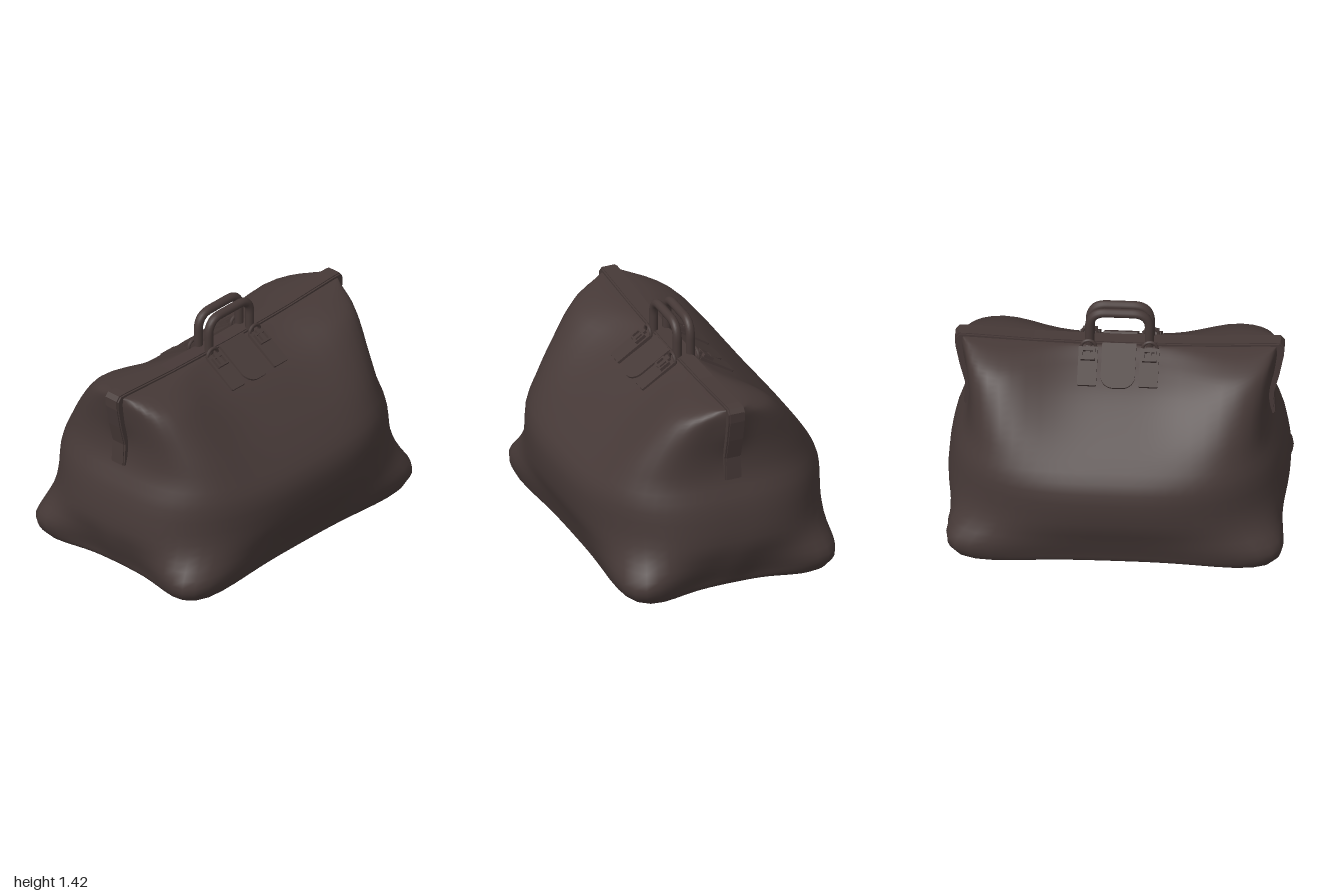
import * as THREE from 'three';

const leather = new THREE.MeshStandardMaterial({ color: 0x463937 });
leather.name = 'darkBrownLeather';

function part(name, geometry, parent, x = 0, y = 0, z = 0) {
  const mesh = new THREE.Mesh(geometry, leather);
  mesh.name = name;
  mesh.position.set(x, y, z);
  parent.add(mesh);
  return mesh;
}

// Cross-sections: height, half width near the ends, half width mid-length,
// half length, squareness, extra length along the strap
const ROWS = [
  [0, 0.57, 0.57, 0.87, 7, 0],
  [0.03, 0.63, 0.63, 0.905, 6, 0],
  [0.1, 0.65, 0.65, 0.92, 6, 0.01],
  [0.22, 0.69, 0.69, 0.965, 4, 0.01],
  [0.36, 0.735, 0.735, 0.998, 3, 0],
  [0.57, 0.738, 0.735, 0.965, 3, 0],
  [0.73, 0.665, 0.62, 0.895, 3.5, 0],
  [0.87, 0.57, 0.48, 0.875, 4, 0],
  [1.0, 0.46, 0.33, 0.885, 4.2, 0.025],
  [1.08, 0.375, 0.21, 0.895, 4.2, 0.03],
  [1.125, 0.29, 0.135, 0.9, 4.2, 0.03],
  [1.16, 0.18, 0.08, 0.9, 4.2, 0.03],
  [1.175, 0.06, 0.05, 0.92, 5, 0.01],
  [1.178, 0, 0, 0.92, 5, 0],
];

// Smooth blend between neighbouring rows
function rowAt(u) {
  const last = ROWS.length - 1;
  const i = Math.min(Math.floor(u), last - 1), t = u - i;
  const [a, b, c, d] = [Math.max(i - 1, 0), i, i + 1, Math.min(i + 2, last)].map(k => ROWS[k]);
  return b.map((p, k) => {
    const m0 = (c[k] - a[k]) / 2, m1 = (d[k] - p) / 2;
    return p + t * m0 + t * t * (3 * (c[k] - p) - 2 * m0 - m1) + t * t * t * (2 * (p - c[k]) + m0 + m1);
  });
}

function bodyPoint(u, t) {
  const [y, wide, mid, long, n, ridge] = rowAt(u);
  const c = Math.cos(t), s = Math.sin(t);
  const r = Math.pow(Math.abs(c) ** n + Math.abs(s) ** n, -1 / n);
  let z = long * r * s;
  const sag = Math.exp(-((z / 0.55) ** 4));
  let x = Math.max(0, wide + (mid - wide) * sag) * r * c;
  // Bulging lower corners
  const off = (Math.atan2(Math.abs(s), Math.abs(c)) - Math.PI / 4) / 0.3;
  const corner = Math.exp(-off * off);
  const bump = corner * Math.exp(-(((y - 0.11) / 0.15) ** 2));
  x += Math.sign(c) * 0.055 * bump;
  z += Math.sign(s) * (0.11 * bump + ridge * Math.exp(-((x / 0.1) ** 2)) * Math.abs(s) ** 4);
  // Ends of the mouth rise, base edges lift slightly between the corners
  const lift = 0.032 * z * z * THREE.MathUtils.smoothstep(y, 0.8, 1.15);
  const base = 0.018 * (1 - corner) * Math.max(0, 1 - y / 0.1);
  return [x, y + lift + base, z];
}

function bodyGeometry(segs = 80, steps = 39) {
  const pos = [], idx = [];
  for (let i = 0; i <= steps; i++)
    for (let j = 0; j < segs; j++)
      pos.push(...bodyPoint((i / steps) * (ROWS.length - 1), (j / segs) * Math.PI * 2));
  for (let i = 0; i < steps; i++)
    for (let j = 0; j < segs; j++) {
      const a = i * segs + j, b = i * segs + ((j + 1) % segs);
      idx.push(a, a + segs, b, b, a + segs, b + segs);
    }
  return finish(pos, idx);
}

function baseGeometry(segs = 80) {
  const pos = [0, 0.018, 0], idx = [];
  for (let j = 0; j < segs; j++) {
    pos.push(...bodyPoint(0, (j / segs) * Math.PI * 2));
    idx.push(0, 1 + j, 1 + ((j + 1) % segs));
  }
  return finish(pos, idx);
}

function finish(pos, idx) {
  const g = new THREE.BufferGeometry();
  g.setAttribute('position', new THREE.Float32BufferAttribute(pos, 3));
  g.setIndex(idx);
  g.computeVertexNormals();
  return g;
}

// Band along the mouth and down both ends, extruded across x
function strapGeometry(halfWidth, raise) {
  const outer = [[0.905, 0.73], [0.897, 0.87], [0.93, 1.0], [0.955, 1.13], [0.957, 1.185],
    [0.935, 1.212], [0.88, 1.212], [0.5, 1.192], [0, 1.184]];
  const inner = [[0, 1.15], [0.5, 1.158], [0.88, 1.175], [0.915, 1.165], [0.915, 1.13],
    [0.89, 1.0], [0.86, 0.87], [0.865, 0.73]];
  const top = outer.map(([z, y]) => [z + (z > 0.89 ? raise : 0), y + (y > 1.18 ? raise : 0)]);
  const flip = list => list.slice().reverse().map(([z, y]) => [-z, y]);
  const loop = [...top, ...flip(top).slice(1), ...flip(inner), ...inner.slice(1)];
  const shape = new THREE.Shape(loop.map(([z, y]) => new THREE.Vector2(z, y)));
  const g = new THREE.ExtrudeGeometry(shape, { depth: halfWidth * 2, bevelEnabled: false });
  return g.translate(0, 0, -halfWidth).rotateY(-Math.PI / 2);
}

// Thin plate lying in local x/z with a rounded outer end
function plateGeometry(x0, x1, halfZ, radius, thick) {
  const s = new THREE.Shape();
  s.moveTo(x0, -halfZ);
  s.lineTo(x1 - radius, -halfZ);
  s.absarc(x1 - radius, -halfZ + radius, radius, -Math.PI / 2, 0);
  s.absarc(x1 - radius, halfZ - radius, radius, 0, Math.PI / 2);
  s.lineTo(x0, halfZ);
  return new THREE.ExtrudeGeometry(s, { depth: thick, bevelEnabled: false }).rotateX(-Math.PI / 2);
}

function frameGeometry(w, h, rim, thick) {
  const rect = (p, a, b) => p.moveTo(-a, -b).lineTo(a, -b).lineTo(a, b).lineTo(-a, b).closePath();
  const s = rect(new THREE.Shape(), w, h);
  s.holes.push(rect(new THREE.Path(), w - rim, h - rim));
  return new THREE.ExtrudeGeometry(s, { depth: thick, bevelEnabled: false }).rotateX(-Math.PI / 2);
}

// Arched carrying handle in the y/z plane
function handleGeometry() {
  const path = new THREE.CurvePath();
  const v = (y, z) => new THREE.Vector3(0, y, z);
  path.add(new THREE.LineCurve3(v(1.17, -0.175), v(1.3, -0.175)));
  path.add(new THREE.QuadraticBezierCurve3(v(1.3, -0.175), v(1.393, -0.17), v(1.393, -0.08)));
  path.add(new THREE.LineCurve3(v(1.393, -0.08), v(1.393, 0.08)));
  path.add(new THREE.QuadraticBezierCurve3(v(1.393, 0.08), v(1.393, 0.17), v(1.3, 0.175)));
  path.add(new THREE.LineCurve3(v(1.3, 0.175), v(1.17, 0.175)));
  return new THREE.TubeGeometry(path, 48, 0.027, 12);
}

function sideHardware() {
  const side = new THREE.Group();
  side.name = 'handleSide';
  part('handle', handleGeometry(), side, 0.042);
  // Fittings that lie on the sloping shoulder
  const slope = new THREE.Group();
  slope.name = 'shoulderFittings';
  slope.position.set(0.05, 1.18, 0);
  slope.rotation.z = -Math.atan(0.65);
  side.add(slope);
  part('closingFlap', plateGeometry(0, 0.285, 0.1, 0.075, 0.025), slope, 0, -0.008);
  for (const z of [-0.18, 0.18]) {
    part('handleTab', plateGeometry(0.03, 0.275, 0.056, 0.008, 0.03), slope, 0, -0.008, z);
    part('buckle', frameGeometry(0.035, 0.042, 0.012, 0.022), slope, 0.085, 0.02, z);
    part('buckleTongue', new THREE.BoxGeometry(0.08, 0.02, 0.026), slope, 0.07, 0.03, z);
    const ring = part('handleRing', new THREE.TorusGeometry(0.042, 0.01, 8, 20), side, 0.075, 1.175, z);
    ring.rotation.set(0, Math.PI / 2, 0);
  }
  return side;
}

export function createModel() {
  const bag = new THREE.Group();
  bag.name = 'travelBag';
  part('body', bodyGeometry(), bag);
  part('base', baseGeometry(), bag);
  part('mouthStrap', strapGeometry(0.052, 0), bag);
  part('strapRidge', strapGeometry(0.042, 0.006), bag);
  const left = sideHardware();
  const right = sideHardware();
  right.rotation.y = Math.PI;
  bag.add(left, right);
  return bag;
}
